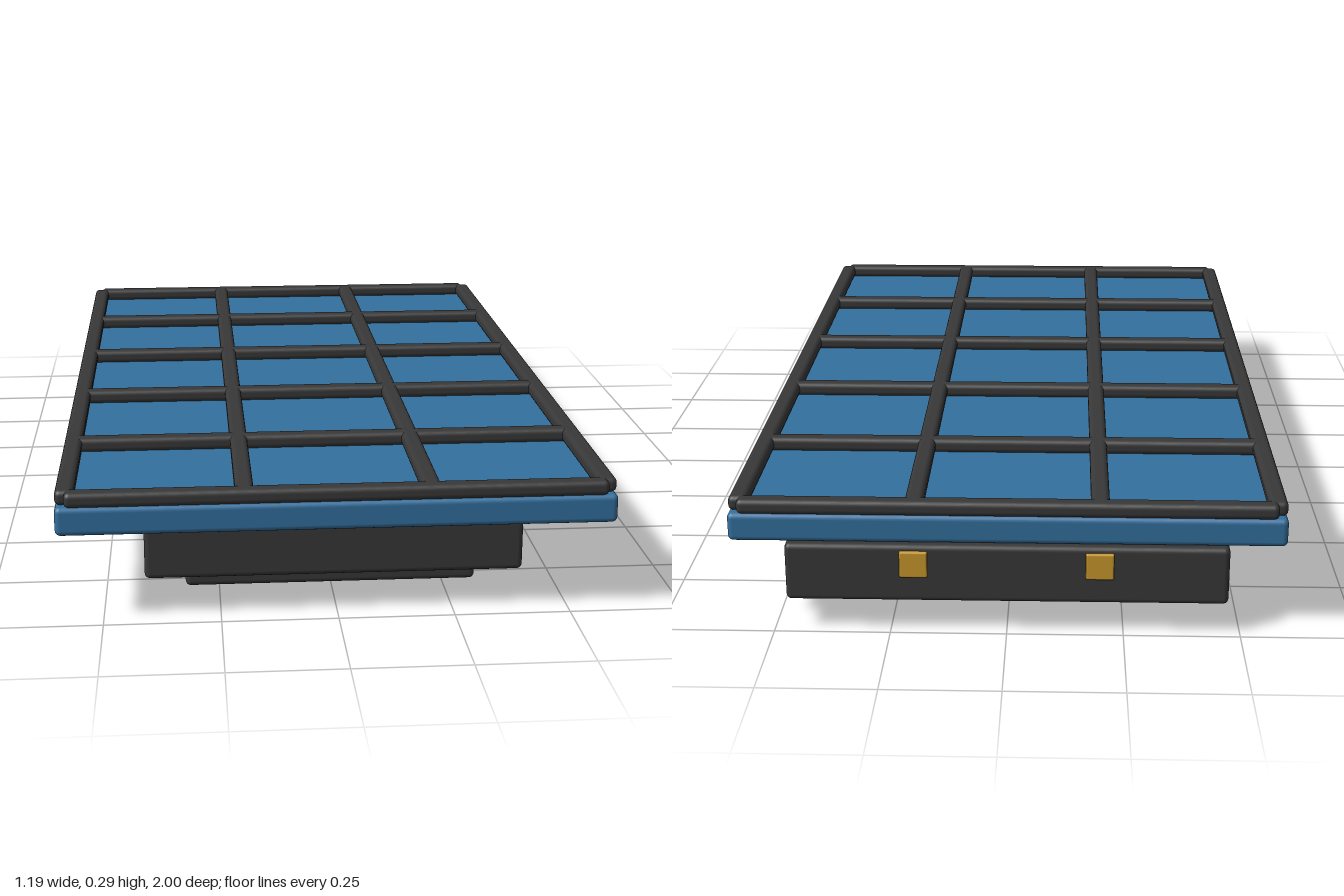
import * as THREE from 'three';
import { RoundedBoxGeometry } from 'three/addons/geometries/RoundedBoxGeometry.js';

const charcoal = new THREE.MeshStandardMaterial({ color: 0x383838 });
const blue = new THREE.MeshStandardMaterial({ color: 0x33709f });
const gold = new THREE.MeshStandardMaterial({ color: 0xc8982c });

// Soft-edged box given by its extents on each axis
function block(name, material, [x0, x1], [y0, y1], [z0, z1], radius = 0.012) {
  const geometry = new RoundedBoxGeometry(x1 - x0, y1 - y0, z1 - z0, 3, radius);
  const mesh = new THREE.Mesh(geometry, material);
  mesh.name = name;
  mesh.position.set((x0 + x1) / 2, (y0 + y1) / 2, (z0 + z1) / 2);
  return mesh;
}

export function createModel() {
  const model = new THREE.Group();
  model.name = 'gridPanel';

  // Stepped underside and the coloured slab
  model.add(block('foot', charcoal, [-0.325, 0.325], [0, 0.06], [-0.784, 0.802]));
  model.add(block('body', charcoal, [-0.413, 0.413], [0.06, 0.2], [-0.883, 0.902]));
  model.add(block('slab', blue, [-0.594, 0.594], [0.2, 0.263], [-0.98, 1]));

  // Connector block at the back with two contacts
  model.add(block('connector', charcoal, [-0.473, 0.473], [0.07, 0.2], [-0.992, -0.892]));
  for (const x of [-0.198, 0.198]) {
    model.add(block('contact', gold, [x - 0.03, x + 0.03], [0.129, 0.188], [-1, -0.98], 0.004));
  }

  // Raised grid on top: outer rails stop short of the corners
  const grid = new THREE.Group();
  grid.name = 'grid';
  const zMid = 0.01, half = 0.02, height = [0.261, 0.294];
  for (const x of [-0.574, -0.198, 0.198, 0.574]) {
    grid.add(block('lengthwiseBar', charcoal, [x - half, x + half], height, [zMid - 0.97, zMid + 0.97]));
  }
  for (const dz of [-0.97, -0.594, -0.198, 0.198, 0.594, 0.97]) {
    const z = zMid + dz;
    grid.add(block('crossBar', charcoal, [-0.574, 0.574], height, [z - half, z + half]));
  }
  model.add(grid);
  return model;
}
